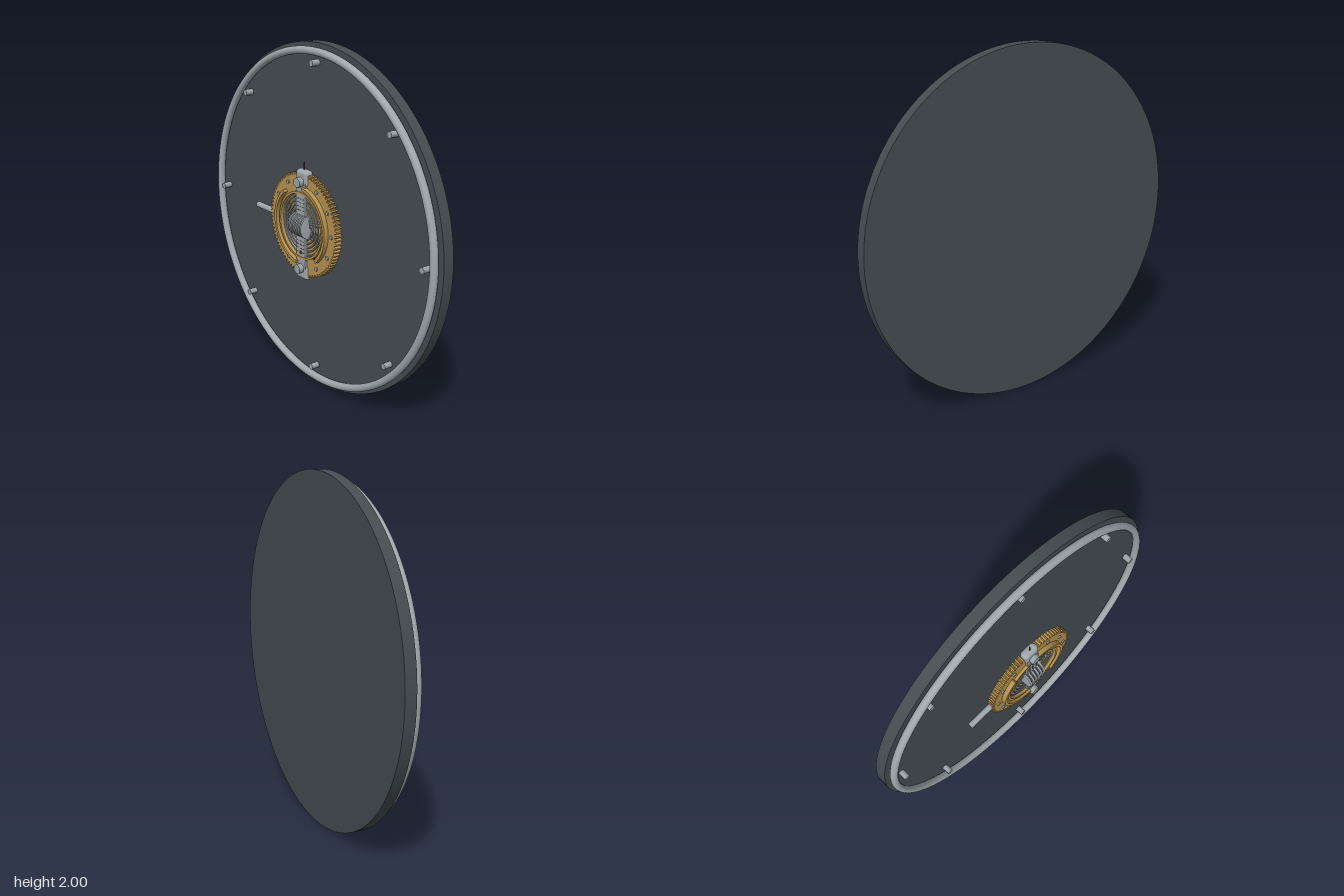
import * as THREE from 'three';
import { RoundedBoxGeometry } from 'three/addons/geometries/RoundedBoxGeometry.js';

const mat = (color) => new THREE.MeshStandardMaterial({ color });
const dark = mat(0x454d51);
const steel = mat(0xa0a8ad);
const darkSteel = mat(0x3c4145);
const gold = mat(0xb8934f);
const red = mat(0x7a2020);

export function createModel() {
  const model = new THREE.Group();
  const dial = new THREE.Group();
  dial.name = 'dial';
  dial.position.y = 1;
  model.add(dial);

  const add = (name, geometry, material, x = 0, y = 0, z = 0, parent = dial) => {
    const mesh = new THREE.Mesh(geometry, material);
    mesh.name = name;
    mesh.position.set(x, y, z);
    parent.add(mesh);
    return mesh;
  };
  // Cylinder along z between two depths
  const rod = (name, r, z0, z1, material, x = 0, y = 0, sides = 24) => {
    const g = new THREE.CylinderGeometry(r, r, z1 - z0, sides).rotateX(Math.PI / 2);
    return add(name, g, material, x, y, (z0 + z1) / 2);
  };
  // Flat ring or ring segment between two depths
  const ring = (name, ri, ro, z0, z1, material, a0 = 0, a1 = Math.PI * 2) => {
    const s = new THREE.Shape();
    if (a1 - a0 > 6.28) {
      s.absarc(0, 0, ro, 0, Math.PI * 2);
      s.holes.push(new THREE.Path().absarc(0, 0, ri, 0, Math.PI * 2, true));
    } else {
      s.absarc(0, 0, ro, a0, a1);
      s.absarc(0, 0, ri, a1, a0, true);
      s.closePath();
    }
    const g = new THREE.ExtrudeGeometry(s, { depth: z1 - z0, bevelEnabled: false, curveSegments: 48 });
    return add(name, g, material, 0, 0, z0);
  };

  // Back plate, tubular rim and its hex bolts
  rod('backPlate', 1, -0.115, -0.05, dark, 0, 0, 128);
  add('rimTube', new THREE.TorusGeometry(0.957, 0.022, 16, 128), steel, 0, 0, -0.025);
  for (let i = 0; i < 8; i++) {
    const a = i * Math.PI / 4;
    rod('plateBolt', 0.019, -0.05, -0.001, steel, 0.895 * Math.cos(a), 0.895 * Math.sin(a), 6);
  }

  // Toothed wheel
  const teeth = 80, outline = [];
  for (let i = 0; i < teeth; i++) {
    [[0, 0.286], [0.25, 0.286], [0.42, 0.302], [0.78, 0.302]].forEach(([f, r]) => {
      const a = (i + f) / teeth * Math.PI * 2;
      outline.push(new THREE.Vector2(r * Math.cos(a), r * Math.sin(a)));
    });
  }
  const gearShape = new THREE.Shape(outline);
  gearShape.holes.push(new THREE.Path().absarc(0, 0, 0.185, 0, Math.PI * 2, true));
  add('gear', new THREE.ExtrudeGeometry(gearShape, { depth: 0.04, bevelEnabled: false, curveSegments: 48 }),
    gold, 0, 0, 0.017);

  // Pins around the wheel
  for (let i = 0; i < 12; i++) {
    if (i % 6 === 3) continue;
    const a = i * Math.PI / 6;
    rod('gearPin', 0.011, 0.012, 0.064, steel, 0.257 * Math.cos(a), 0.257 * Math.sin(a), 12);
  }

  // Raised collars, front and back
  ring('innerCollar', 0.183, 0.196, 0.006, 0.074, gold);
  for (const a of [0, Math.PI]) {
    ring('frontCollar', 0.212, 0.23, 0.057, 0.084, gold, a + 0.7 - Math.PI / 2, a + Math.PI / 2 - 0.12);
    ring('backCollar', 0.212, 0.23, 0.004, 0.017, gold, a + 0.7 - Math.PI / 2, a + Math.PI / 2 - 0.12);
  }

  // Concentric contact rings with flat spiral spring
  rod('innerDisc', 0.186, 0.026, 0.042, gold, 0, 0, 64);
  for (let i = 0; i < 5; i++) {
    const r = 0.082 + i * 0.022;
    ring('contactRing', r, r + 0.007, 0.018, 0.058, i % 2 ? gold : steel);
  }
  const spiral = [];
  const turns = 5;
  for (let i = 0; i <= turns * 36; i++) {
    const t = i / (turns * 36), a = t * turns * Math.PI * 2, r = 0.07 + 0.11 * t;
    spiral.push(new THREE.Vector3(r * Math.cos(a), r * Math.sin(a), 0));
  }
  const spring = new THREE.TubeGeometry(new THREE.CatmullRomCurve3(spiral), 400, 0.004, 6);
  add('frontSpring', spring, steel, 0, 0, 0.056);
  add('backSpring', spring, steel, 0, 0, 0.02);

  // Cross bar with rounded end clamps and hex bolts
  add('crossBar', new THREE.BoxGeometry(0.082, 0.5, 0.012), steel, 0, 0, 0.064);
  add('rearCrossBar', new THREE.BoxGeometry(0.082, 0.5, 0.01), steel, 0, 0, 0.012);
  for (const s of [1, -1]) {
    add('endClamp', new RoundedBoxGeometry(0.104, 0.096, 0.054, 4, 0.022), steel, 0, s * 0.272, 0.042);
    rod('clampBolt', 0.03, 0.06, 0.097, steel, 0, s * 0.253, 6);
    for (let i = 0; i < 4; i++) {
      for (const x of [-0.026, 0, 0.026]) {
        add('barSlot', new THREE.BoxGeometry(0.012, 0.004, 0.002), darkSteel, x, s * (0.09 + i * 0.022), 0.0705);
      }
    }
  }

  // Ribbed hub lying along x
  const profile = [[0, -0.06], [0.05, -0.06]];
  for (let i = 0; i < 6; i++) {
    const x = -0.06 + i * 0.0212;
    profile.push([0.069, x + 0.001], [0.069, x + 0.012]);
    if (i < 5) profile.push([0.056, x + 0.013], [0.056, x + 0.021]);
  }
  profile.push([0.05, 0.06], [0, 0.06]);
  const hubMaterial = steel.clone();
  hubMaterial.flatShading = true;
  const hub = new THREE.LatheGeometry(profile.map(([r, y]) => new THREE.Vector2(r, y)), 48);
  add('ribbedHub', hub.rotateZ(Math.PI / 2), hubMaterial, 0, 0, 0.046);
  for (let i = 0; i < 5; i++) {
    const groove = new THREE.CylinderGeometry(0.059, 0.059, 0.008, 32).rotateZ(Math.PI / 2);
    add('hubGroove', groove, darkSteel, (i - 2) * 0.0212, 0, 0.046);
  }

  // Side handle and top pointer
  add('handle', new THREE.CylinderGeometry(0.017, 0.017, 0.18, 20).rotateZ(Math.PI / 2), steel, -0.368, 0, 0.036);
  add('pointer', new THREE.CylinderGeometry(0.004, 0.004, 0.06, 8), red, 0, 0.33, 0.044);

  // Small red marker jewels
  [[0, -0.157, 0.073], [-0.115, -0.165, 0.062], [0.115, -0.17, 0.062]].forEach(([x, y, z]) =>
    rod('markerJewel', 0.01, 0.05, z, red, x, y, 12));

  return model;
}
